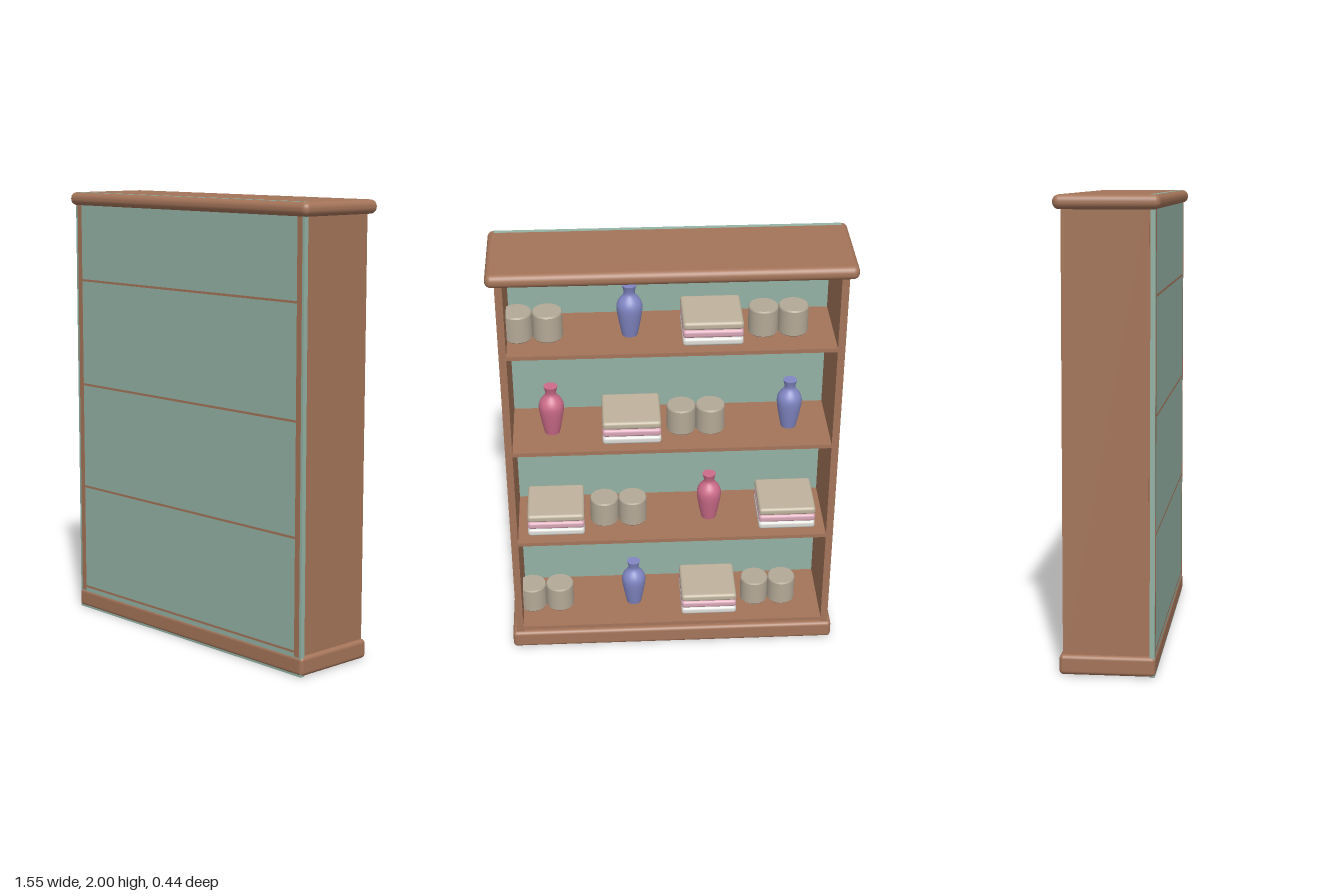
import * as THREE from 'three';
import { RoundedBoxGeometry } from 'three/addons/geometries/RoundedBoxGeometry.js';

const mat = (name, color) => {
  const m = new THREE.MeshStandardMaterial({ color });
  m.name = name;
  return m;
};

export function createModel() {
  const group = new THREE.Group();
  group.name = 'bookcase';
  const wood = mat('wood', 0xa47459);
  const green = mat('sage panel', 0x93b2a4);
  const clay = mat('stoneware', 0xb4a997);
  const tan = mat('tan cloth', 0xbfb39d);
  const rose = mat('rose cloth', 0xd8a6b6);
  const white = mat('white cloth', 0xdcdcd8);
  const pink = mat('pink glaze', 0xcc6c8a);
  const blue = mat('blue glaze', 0x8187c4);

  const add = (parent, name, geo, material, x, y, z) => {
    const m = new THREE.Mesh(geo, material);
    m.name = name;
    m.position.set(x, y, z);
    parent.add(m);
    return m;
  };

  // Rounded cornice and plinth
  add(group, 'cornice', new RoundedBoxGeometry(1.55, 0.06, 0.44, 4, 0.028), wood, 0, 1.97, 0);
  add(group, 'plinth', new RoundedBoxGeometry(1.51, 0.085, 0.405, 4, 0.018), wood, 0, 0.0455, 0);

  // Closed panel on the +z side
  add(group, 'panel', new THREE.BoxGeometry(1.495, 2, 0.021), green, 0, 1.0005, 0.1885);

  // Side boards, their edges showing through the panel
  for (const s of [1, -1]) {
    add(group, 'sideBoard', new THREE.BoxGeometry(0.03, 1.98, 0.37), wood, s * 0.72, 1.0, -0.003);
    add(group, 'sideReturn', new THREE.BoxGeometry(0.014, 1.99, 0.36), wood, s * 0.73, 1.0, -0.008);
    add(group, 'sideEdge', new THREE.BoxGeometry(0.028, 1.86, 0.004), wood, s * 0.721, 1.015, 0.1978);
  }

  // Shared shapes for the objects
  const vaseGeo = new THREE.LatheGeometry(new THREE.SplineCurve([
    [0.034, 0], [0.046, 0.06], [0.056, 0.13], [0.048, 0.165], [0.026, 0.195], [0.025, 0.215], [0.032, 0.24],
  ].map(([x, y]) => new THREE.Vector2(x, y))).getPoints(24), 32);
  const vaseCap = new THREE.CircleGeometry(0.031, 32).rotateX(-Math.PI / 2);
  const jarGeo = new THREE.LatheGeometry([
    [0, 0], [0.062, 0], [0.065, 0.004], [0.065, 0.004], [0.065, 0.118], [0.065, 0.118], [0.061, 0.125], [0.061, 0.125], [0, 0.125],
  ].map(([x, y]) => new THREE.Vector2(x, y)), 32);
  const clothGeo = new RoundedBoxGeometry(0.26, 0.037, 0.25, 3, 0.014);

  const makers = {
    jars(g) {
      for (const x of [0, 0.13]) add(g, 'jar', jarGeo, clay, x, 0, 0);
    },
    vase(g, glaze) {
      add(g, 'vaseBody', vaseGeo, glaze, 0, 0, 0);
      add(g, 'vaseMouth', vaseCap, glaze, 0, 0.238, 0);
    },
    cloths(g) {
      [white, rose, tan].forEach((m, i) => add(g, 'foldedCloth', clothGeo, m, 0, 0.0185 + i * 0.038, 0));
    },
  };

  // Shelves and what stands on them, from +x to -x
  const rows = [
    [['jars'], ['vase', blue], ['cloths'], ['jars']],
    [['cloths'], ['jars'], ['vase', pink], ['cloths']],
    [['vase', pink], ['cloths'], ['jars'], ['vase', blue]],
    [['jars'], ['vase', blue], ['cloths'], ['jars']],
  ];
  rows.forEach((row, r) => {
    const y = 0.115 + r * 0.495;
    add(group, 'shelf', new THREE.BoxGeometry(1.42, 0.018, 0.37), wood, 0, y - 0.009, -0.003);
    add(group, 'shelfEdge', new THREE.BoxGeometry(1.42, 0.01, 0.004), wood, 0, y - 0.009, 0.1974);
    row.forEach(([kind, glaze], i) => {
      const g = new THREE.Group();
      g.name = kind;
      g.position.set(0.53 - i * 0.3533, y, -0.015);
      makers[kind](g, glaze);
      group.add(g);
    });
  });
  return group;
}
